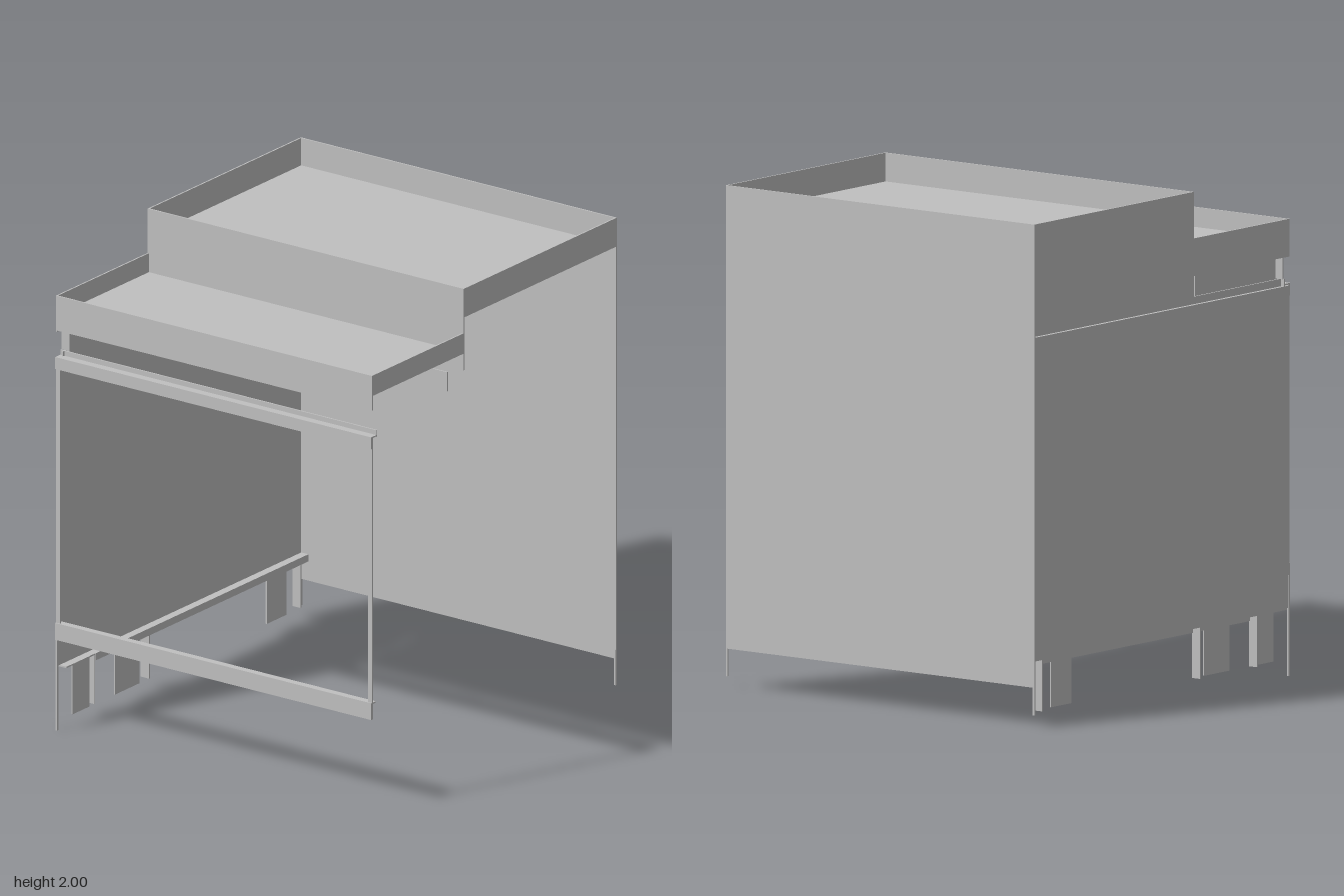
import * as THREE from 'three';

const T = 0.006; // sheet thickness
const X = 0.77, F = 0.805, B = -0.81, STEP = 0.2;

export function createModel() {
  const model = new THREE.Group();
  model.name = 'steppedCabinetFrame';
  const sheet = new THREE.MeshStandardMaterial({ color: 0xc0c0c0 });
  sheet.name = 'grey sheet metal';

  // Box given by its limits on each axis
  function plate(name, [x0, x1], [y0, y1], [z0, z1], parent = model) {
    const mesh = new THREE.Mesh(new THREE.BoxGeometry(x1 - x0, y1 - y0, z1 - z0), sheet);
    mesh.name = name;
    mesh.position.set((x0 + x1) / 2, (y0 + y1) / 2, (z0 + z1) / 2);
    parent.add(mesh);
    return mesh;
  }
  const wide = [-X, X];
  const rightSkin = [-X, -X + T];
  const leftSkin = [X - T, X];
  const inset = [-0.735, -0.735 + T];

  // Back and side panels
  plate('backPanel', wide, [0.16, 2], [B, B + T]);
  plate('sidePanel', rightSkin, [0.27, 1.55], [B, F]);
  plate('sidePanelTopFold', [-X, -0.75], [1.55 - T, 1.55], [B, F]);
  plate('sidePanelBottomFold', [-X, -0.73], [0.27 - T, 0.27], [B, 0.79]);
  plate('sidePanelBottomLip', inset, [0.24, 0.27], [B, 0.6]);
  plate('sideGroove', [-0.756, -0.75], [1.54, 1.58], [B, F - 0.02]);

  // Upper tray with deep front riser
  const upper = new THREE.Group();
  upper.name = 'upperTray';
  model.add(upper);
  plate('upperFloor', wide, [1.88, 1.88 + T], [B, STEP], upper);
  plate('upperLeftRim', leftSkin, [1.88, 2], [B, STEP], upper);
  plate('upperSideWall', rightSkin, [1.57, 2], [B, STEP], upper);
  plate('upperSideWallFold', [-X, -0.75], [1.57, 1.57 + T], [B, STEP], upper);
  plate('riser', wide, [1.66, 2], [STEP - T, STEP], upper);

  // Lower tray
  const lower = new THREE.Group();
  lower.name = 'lowerTray';
  model.add(lower);
  plate('lowerFloor', wide, [1.73, 1.73 + T], [STEP, F], lower);
  plate('lowerFrontRim', wide, [1.67, 1.815], [F - T, F], lower);
  plate('lowerLeftRim', leftSkin, [1.73, 1.815], [STEP, F], lower);
  plate('lowerSideWall', rightSkin, [1.665, 1.815], [STEP, F], lower);

  // Brackets filling the gap below the lower tray
  plate('gapStrip', inset, [1.57, 1.67], [0.25, 0.77]);
  plate('gapFrontTab', [-X, -0.73], [1.58, 1.67], [0.762, 0.768]);
  plate('gapCrossbar', [-0.73, 0.73], [1.58, 1.66], [0.25, 0.25 + T]);

  // Front opening frame
  const frame = new THREE.Group();
  frame.name = 'frontFrame';
  model.add(frame);
  plate('topRail', wide, [1.51, 1.56], [F - T, F + 0.005], frame);
  plate('topRailShelf', wide, [1.56 - T, 1.56], [0.77, F], frame);
  plate('topRailLip', wide, [1.55, 1.58], [0.77, 0.77 + T], frame);
  plate('bottomRail', wide, [0.38, 0.45], [F - T, F + 0.005], frame);
  plate('bottomRailShelf', wide, [0.45 - T, 0.45], [0.78, F], frame);
  for (const s of [-1, 1]) {
    const x0 = s < 0 ? -X : X - 0.02;
    plate('frontPost', [x0, x0 + 0.02], [0.38, 1.55], [F - T, F], frame);
  }

  // Folded legs: wide inset plate, with a cross plate on one edge
  for (const [z0, z1, cross] of [[0.64, 0.75, 0.6], [0.31, 0.47, 0.24], [-0.66, -0.53, -0.76]]) {
    const leg = new THREE.Group();
    leg.name = 'leg';
    model.add(leg);
    plate('legPlate', inset, [0.06, 0.27], [z0, z1], leg);
    plate('legCrossPlate', [-X, -0.73], [0.06, 0.27], [cross, cross + T], leg);
  }

  // Thin corner feet
  plate('frontCornerFoot', [-X - 0.002, -X + 0.006], [0, 0.4], [F - 0.008, F]);
  for (const x of [-X, X - 0.008]) plate('backCornerFoot', [x, x + 0.008], [0.05, 0.2], [B, B + 0.008]);

  return model;
}
